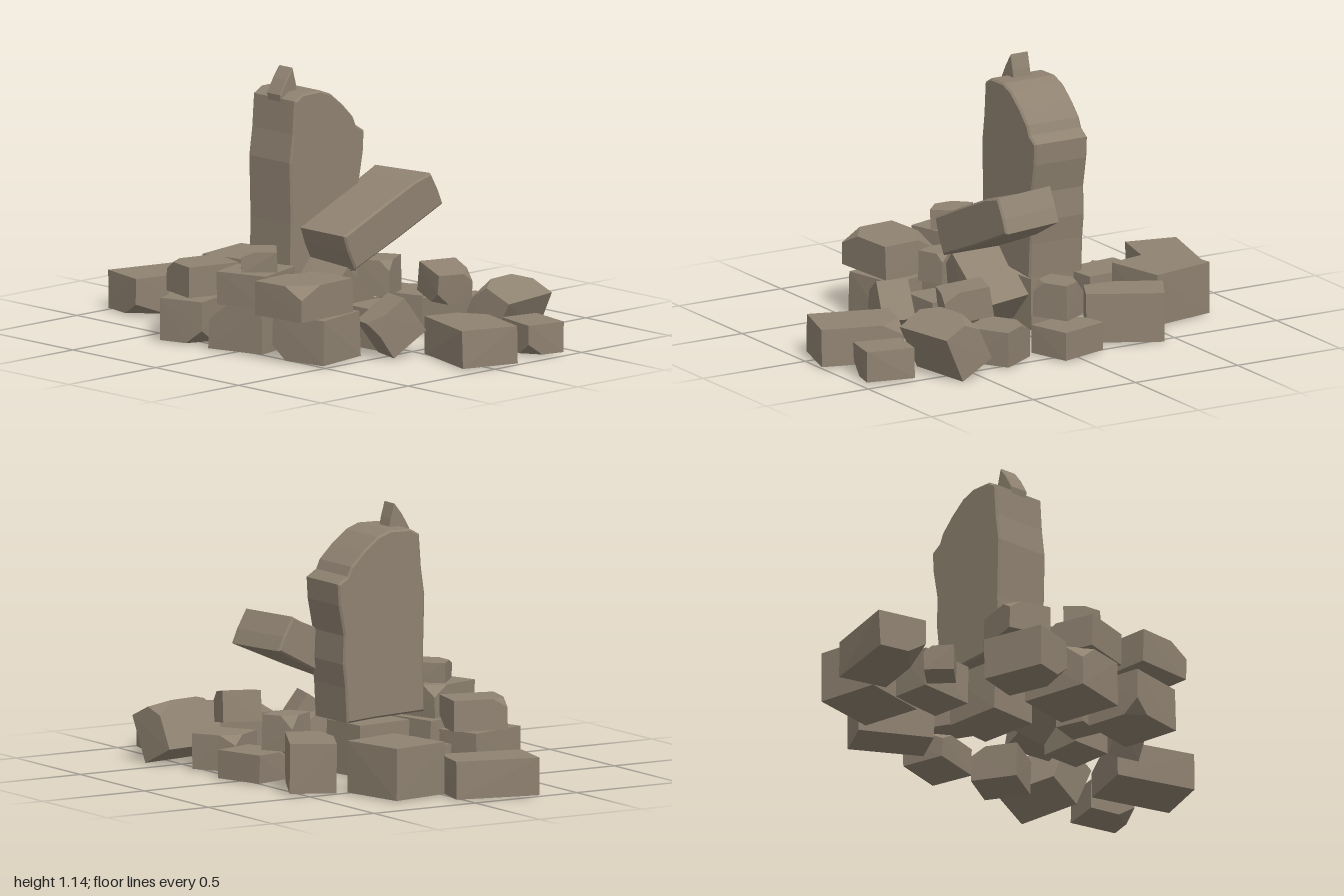
import * as THREE from 'three';
import { ConvexGeometry } from 'three/addons/geometries/ConvexGeometry.js';

export function createModel() {
  const model = new THREE.Group();
  model.name = 'ruinedPillarAndRubble';
  const stone = new THREE.MeshStandardMaterial({ color: 0x8f8271 });
  stone.name = 'weathered stone';

  let seed = 7;
  const random = () => (seed = (seed * 16807) % 2147483647) / 2147483647;

  function add(name, geometry) {
    const mesh = new THREE.Mesh(geometry, stone);
    mesh.name = name;
    model.add(mesh);
    return mesh;
  }

  // Slab with a broken outline, extruded from z0 to z1 with a worn edge
  function slab(name, outline, z0, z1, worn) {
    const shape = new THREE.Shape(outline.map(([x, y]) => new THREE.Vector2(x, y)));
    const geometry = new THREE.ExtrudeGeometry(shape, {
      depth: z1 - z0 - 2 * worn, bevelEnabled: true, bevelThickness: worn,
      bevelSize: worn, bevelOffset: -worn, bevelSegments: 1,
    });
    geometry.translate(0, 0, z0 + worn);
    return add(name, geometry);
  }

  // Rough block: a box with slightly uneven corners, some of them broken off.
  // Corners are numbered 0-7 by bits: 1 = +x, 2 = +y, 4 = +z.
  function rock(name, [x, y, z], [w, h, d], yaw, chips = [], tiltX = 0, tiltZ = 0) {
    const size = [w, h, d];
    const corners = [];
    for (let i = 0; i < 8; i++) {
      corners.push(new THREE.Vector3(...size.map((s, axis) =>
        (i >> axis & 1 ? 0.5 : -0.5) * s * (axis === 1 ? 1 : 0.97 + 0.07 * random()))));
    }
    const points = [];
    corners.forEach((corner, i) => {
      if (!chips.includes(i)) points.push(corner);
      else [1, 2, 4].forEach((bit) =>
        points.push(corner.clone().lerp(corners[i ^ bit], 0.25 + 0.15 * random())));
    });
    const mesh = add(name, new ConvexGeometry(points));
    mesh.position.set(x, y, z);
    mesh.rotation.set(tiltX, yaw, tiltZ, 'YXZ');
  }

  // Standing pillar stump with its broken, curved top
  slab('pillar', [
    [-0.22, 0.27], [0.03, 0.26], [0.16, 0.25], [0.168, 0.4], [0.18, 0.5], [0.175, 0.62],
    [0.2, 0.75], [0.205, 0.84], [0.158, 0.87], [0.14, 0.91], [0.08, 0.97], [0.01, 1.025],
    [-0.05, 1.047], [-0.15, 1.045], [-0.195, 1.02], [-0.205, 0.88], [-0.222, 0.76], [-0.215, 0.5],
  ], -0.258, 0, 0.008);
  slab('topShard', [
    [-0.195, 1.0], [-0.1, 1.03], [-0.11, 1.08], [-0.128, 1.142], [-0.165, 1.095], [-0.2, 1.035],
  ], -0.17, -0.085, 0.004);

  // Fallen slab leaning on the pillar, its far end broken at a slant
  const fallen = slab('fallenSlab', [
    [-0.1, 0.33], [0.15, 0.43], [0.405, 0.54], [0.38, 0.6], [0.335, 0.68], [0.24, 0.655],
    [0.05, 0.575], [-0.165, 0.48], [-0.14, 0.41],
  ], -0.03, 0.265, 0.008).geometry;
  const vertices = fallen.attributes.position;
  for (let i = 0; i < vertices.count; i++) {
    if (vertices.getX(i) > 0.3 && vertices.getZ(i) < 0.1) vertices.setX(i, vertices.getX(i) - 0.05);
  }
  fallen.computeVertexNormals();

  // Blocks under the pillar and the fallen slab
  rock('footing', [-0.02, 0.125, -0.13], [0.26, 0.22, 0.22], 0.1);
  rock('leaningBlock', [-0.05, 0.19, 0.08], [0.28, 0.16, 0.24], 0, [], 0.1, -0.75);
  rock('uprightBlock', [-0.035, 0.1, 0.33], [0.19, 0.17, 0.18], 0.03);

  // Rear blocks
  rock('rearBlock', [-0.16, 0.09, -0.855], [0.36, 0.16, 0.22], -0.24, [4]);
  rock('rearBlock', [0.165, 0.12, -0.64], [0.27, 0.22, 0.3], 0.19);
  rock('rearChip', [-0.245, 0.065, -0.61], [0.14, 0.11, 0.125], -0.8, [2]);
  rock('rearBlock', [-0.035, 0.1, -0.475], [0.18, 0.17, 0.26], 0.1, [3]);

  // Right-hand blocks
  rock('sideBlock', [0.385, 0.115, -0.325], [0.19, 0.21, 0.33], -0.5, [6]);
  rock('sideBlock', [0.46, 0.07, 0.0], [0.19, 0.12, 0.23], 0.3, [2]);
  rock('stackedBlock', [0.325, 0.205, -0.04], [0.16, 0.15, 0.14], 0.5, [3, 6]);
  rock('sideBlock', [0.41, 0.085, 0.31], [0.2, 0.15, 0.2], 0.55, [3]);
  rock('stackedBlock', [0.29, 0.245, 0.4], [0.16, 0.13, 0.2], -0.35, [7, 4], 0.15);

  // Front blocks
  rock('frontTiltedBlock', [0.455, 0.137, 0.595], [0.3, 0.21, 0.17], 0.15, [2, 3], 0.45);
  rock('frontBlock', [0.37, 0.075, 0.84], [0.17, 0.13, 0.21], -0.2, [4]);
  rock('frontBlock', [0.06, 0.09, 0.79], [0.25, 0.16, 0.35], -0.29, [3]);
  rock('frontTiltedBlock', [-0.125, 0.135, 0.505], [0.18, 0.18, 0.14], -0.25, [6], 0, 0.6);

  // Left-hand stacks
  rock('leftBlock', [-0.39, 0.105, 0.33], [0.26, 0.19, 0.26], 0.2, [0]);
  rock('stackedBlock', [-0.445, 0.275, 0.315], [0.31, 0.145, 0.26], 0.08, [6, 3]);
  rock('leftChip', [-0.22, 0.1, 0.18], [0.13, 0.17, 0.14], 0.3);
  rock('stackedChip', [-0.235, 0.25, 0.19], [0.12, 0.13, 0.15], 0.4, [2, 7]);
  rock('leftBlock', [-0.41, 0.11, -0.02], [0.29, 0.2, 0.26], 0.23, [2]);
  rock('stackedBlock', [-0.43, 0.275, 0.01], [0.25, 0.14, 0.23], 0.3, [3]);
  rock('topBlock', [-0.425, 0.385, 0.02], [0.15, 0.09, 0.15], -0.75, [6]);
  rock('leftBlock', [-0.455, 0.1, -0.32], [0.28, 0.18, 0.2], 0.3, [4]);
  rock('stackedBlock', [-0.415, 0.26, -0.33], [0.23, 0.13, 0.19], -0.25, [2, 5]);

  return model;
}
